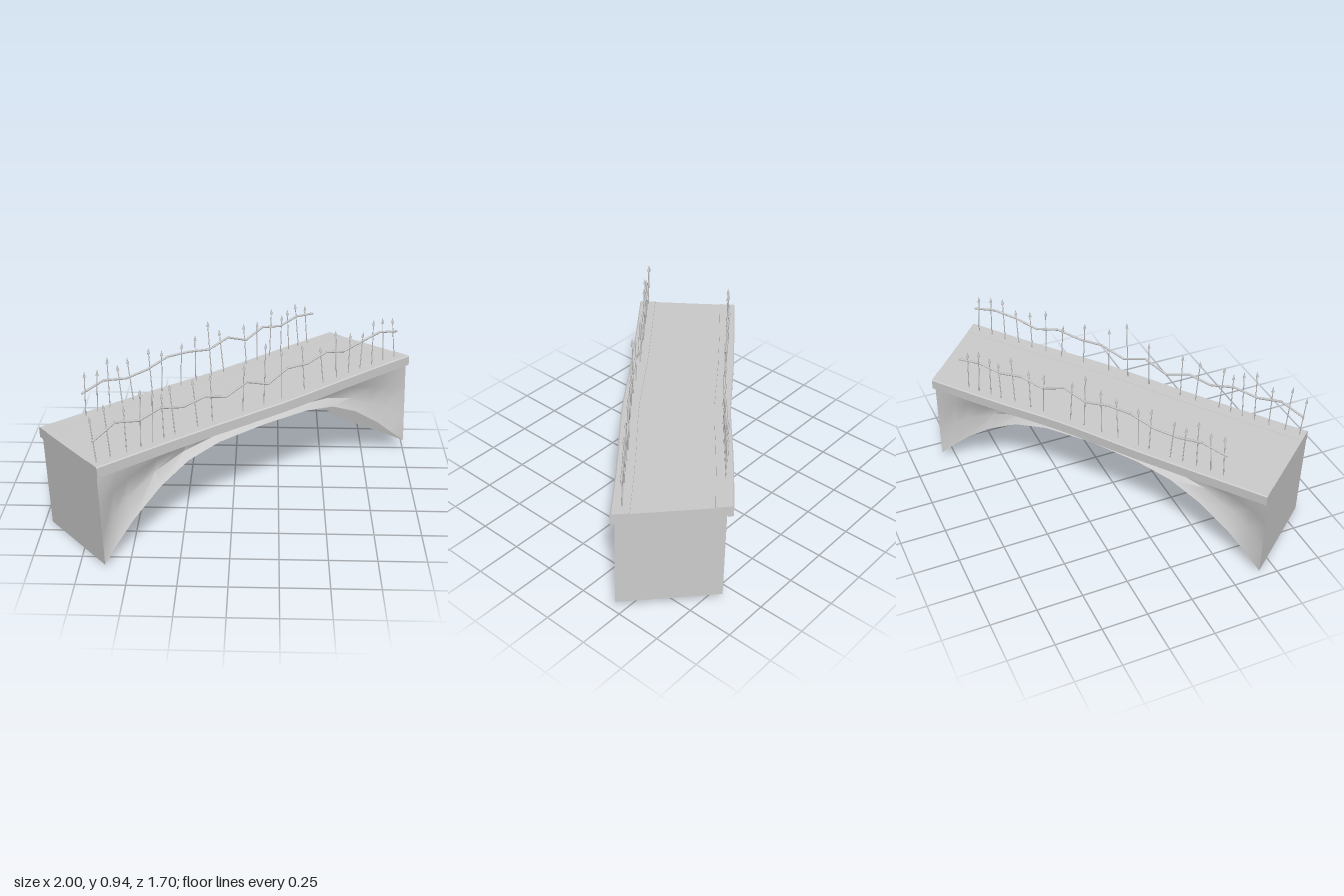
import * as THREE from 'three';
import { toCreasedNormals } from 'three/addons/utils/BufferGeometryUtils.js';

const mat = new THREE.MeshStandardMaterial({ color: 0xcccccc });
const shellMat = new THREE.MeshStandardMaterial({ color: 0xcccccc, side: THREE.DoubleSide });

// Bends a straight station s (-1..1) and offset v into plan: skewed right end, slight sideways bulge
function place(s, v, y) {
  const bulge = 0.018 * Math.exp(-(((s - 0.15) / 0.35) ** 2));
  return new THREE.Vector3(1.022 * s + 0.174 * v * Math.max(0, s), y, v + bulge);
}

function addMesh(parent, name, pos, idx, crease, material) {
  const g = new THREE.BufferGeometry();
  g.setAttribute('position', new THREE.Float32BufferAttribute(pos, 3));
  g.setIndex(idx);
  const mesh = new THREE.Mesh(toCreasedNormals(g, crease), material);
  mesh.name = name;
  parent.add(mesh);
}

// Thin deck slab with cornice beams hanging along both edges, swept along the span and capped
function addDeck(parent) {
  const section = [
    [-0.29, 0.494], [-0.318, 0.497], [-0.318, 0.55], [-0.312, 0.555], [-0.23, 0.555], [-0.229, 0.552],
    [0.171, 0.552], [0.172, 0.555], [0.258, 0.555], [0.264, 0.55], [0.264, 0.497], [0.24, 0.494],
    [0.215, 0.537], [-0.27, 0.537],
  ];
  const stations = [-1, -0.6, -0.3, -0.1, 0.1, 0.2, 0.3, 0.5, 0.7, 1];
  const pos = [], idx = [], n = section.length, last = stations.length - 1;
  stations.forEach((s) => section.forEach(([v, y]) => pos.push(...place(s, v, y))));
  for (let i = 0; i < last; i++) {
    for (let j = 0; j < n; j++) {
      const a = i * n + j, b = i * n + (j + 1) % n;
      idx.push(a, b, b + n, a, b + n, a + n);
    }
  }
  const contour = section.map(([v, y]) => new THREE.Vector2(-v, y));
  for (const [a, b, c] of THREE.ShapeUtils.triangulateShape(contour, [])) {
    idx.push(last * n + a, last * n + b, last * n + c, a, c, b);
  }
  addMesh(parent, 'deck', pos, idx, 0.6, mat);
}

// Linear lookup in a table of [x, y] pairs
function lookup(table, x) {
  const i = Math.max(1, table.findIndex(([tx]) => x <= tx));
  const [x0, y0] = table[i - 1], [x1, y1] = table[i];
  return y0 + (y1 - y0) * (x - x0) / (x1 - x0);
}

// Hollow body, open below: two arched side walls joined by end walls.
// Columns run round the plan; each side wall is hollowed above the arch edge.
function addBody(parent) {
  const top = 0.54;
  const arch = [[0, 0.457], [0.28, 0.443], [0.47, 0.4], [0.64, 0.31], [0.81, 0.18], [1, 0]];
  const stations = [-1, -0.9, -0.81, -0.64, -0.47, -0.28, 0, 0.28, 0.47, 0.64, 0.81, 0.9, 1];
  const rows = [[0, 0.015], [0.3, 0.06], [0.62, 0.042], [0.9, 0.006], [1, 0.004]];
  const columns = [
    ...stations.map((s) => [s, 0.257 - 0.014 * Math.max(0, s), -1]),
    ...stations.map((s) => [-s, -0.286, 1]),
  ];
  const pos = [], idx = [], n = rows.length;
  for (const [s, v, inward] of columns) {
    const a = Math.abs(s), low = lookup(arch, a);
    const depth = Math.min(1, (1 - a) / 0.12) * Math.min(1, 0.3 + (top - low) / 0.3);
    for (const [t, d] of rows) pos.push(...place(s, v + inward * d * depth, low + (top - low) * t));
  }
  columns.forEach((_, i) => {
    const next = (i + 1) % columns.length;
    for (let j = 0; j < n - 1; j++) {
      const a = i * n + j, b = next * n + j;
      idx.push(a, b, b + 1, a, b + 1, a + 1);
    }
  });
  addMesh(parent, 'archBody', pos, idx, 0.9, shellMat);
}

// Thin tapered rod between two points
function rod(name, a, b, r0, r1) {
  const dir = b.clone().sub(a);
  const mesh = new THREE.Mesh(new THREE.CylinderGeometry(r1, r0, dir.length(), 6), mat);
  mesh.position.copy(a).add(b).multiplyScalar(0.5);
  mesh.quaternion.setFromUnitVectors(new THREE.Vector3(0, 1, 0), dir.normalize());
  mesh.name = name;
  return mesh;
}

// Railing: leaning spear posts and a zigzag rail
function addRailing(parent, name, v, posts, heights, railFrom, railTo, rail) {
  const group = new THREE.Group();
  group.name = name;
  posts.forEach((u, i) => {
    const h = heights[i % heights.length];
    const lean = 0.02 * Math.sin(i * 7.3 + v * 20);
    const foot = place(u / 1.022, v, 0.52);
    const tip = foot.clone().add(new THREE.Vector3(lean, h + 0.035, lean * 0.3));
    const neck = tip.clone().lerp(foot, 0.03 / h);
    group.add(rod('post', foot, neck, 0.003, 0.0025));
    group.add(rod('spearhead', neck, tip, 0.008, 0.0005));
  });
  const pts = rail.map((h, i) => {
    const u = railFrom + (railTo - railFrom) * i / (rail.length - 1);
    return place(u / 1.022, v + 0.004 * Math.sin(i * 4), 0.555 + h);
  });
  for (let i = 1; i < pts.length; i++) group.add(rod('rail', pts[i - 1], pts[i], 0.006, 0.006));
  parent.add(group);
}

export function createModel() {
  const model = new THREE.Group();
  model.name = 'bridge';
  const bridge = new THREE.Group();
  bridge.name = 'tiltedBridge';
  model.add(bridge);

  addDeck(bridge);
  addBody(bridge);

  // Front railing, full length
  addRailing(bridge, 'frontRailing', 0.214,
    [-0.99, -0.91, -0.82, -0.74, -0.67, -0.6, -0.53, -0.39, -0.3, -0.11,
      0.025, 0.14, 0.3, 0.435, 0.53, 0.615, 0.7, 0.79, 0.88, 0.965],
    [0.25, 0.29, 0.25, 0.31, 0.28, 0.25, 0.28, 0.27, 0.27, 0.27,
      0.35, 0.28, 0.27, 0.22, 0.28, 0.24, 0.22, 0.27, 0.26, 0.24],
    -1.005, 0.98,
    [0.115, 0.175, 0.145, 0.17, 0.135, 0.155, 0.11, 0.16, 0.11, 0.16, 0.15, 0.175, 0.14, 0.165, 0.18, 0.15]);

  // Back railing, shorter
  addRailing(bridge, 'backRailing', -0.274,
    [-0.77, -0.7, -0.62, -0.54, -0.47, -0.35, -0.29, -0.17, -0.07,
      0.04, 0.13, 0.3, 0.38, 0.48, 0.57, 0.64, 0.72, 0.79],
    [0.25, 0.24, 0.29, 0.23, 0.25, 0.27, 0.24, 0.25, 0.27, 0.33, 0.26],
    -0.78, 0.84,
    [0.13, 0.165, 0.14, 0.15, 0.19, 0.185, 0.16, 0.2, 0.15, 0.19, 0.165, 0.19, 0.175]);

  // Slight tilt, then turn in plan
  bridge.rotation.set(-0.02, 0.674, 0.026, 'YXZ');
  bridge.position.set(0.016, 0.032, 0);
  return model;
}
